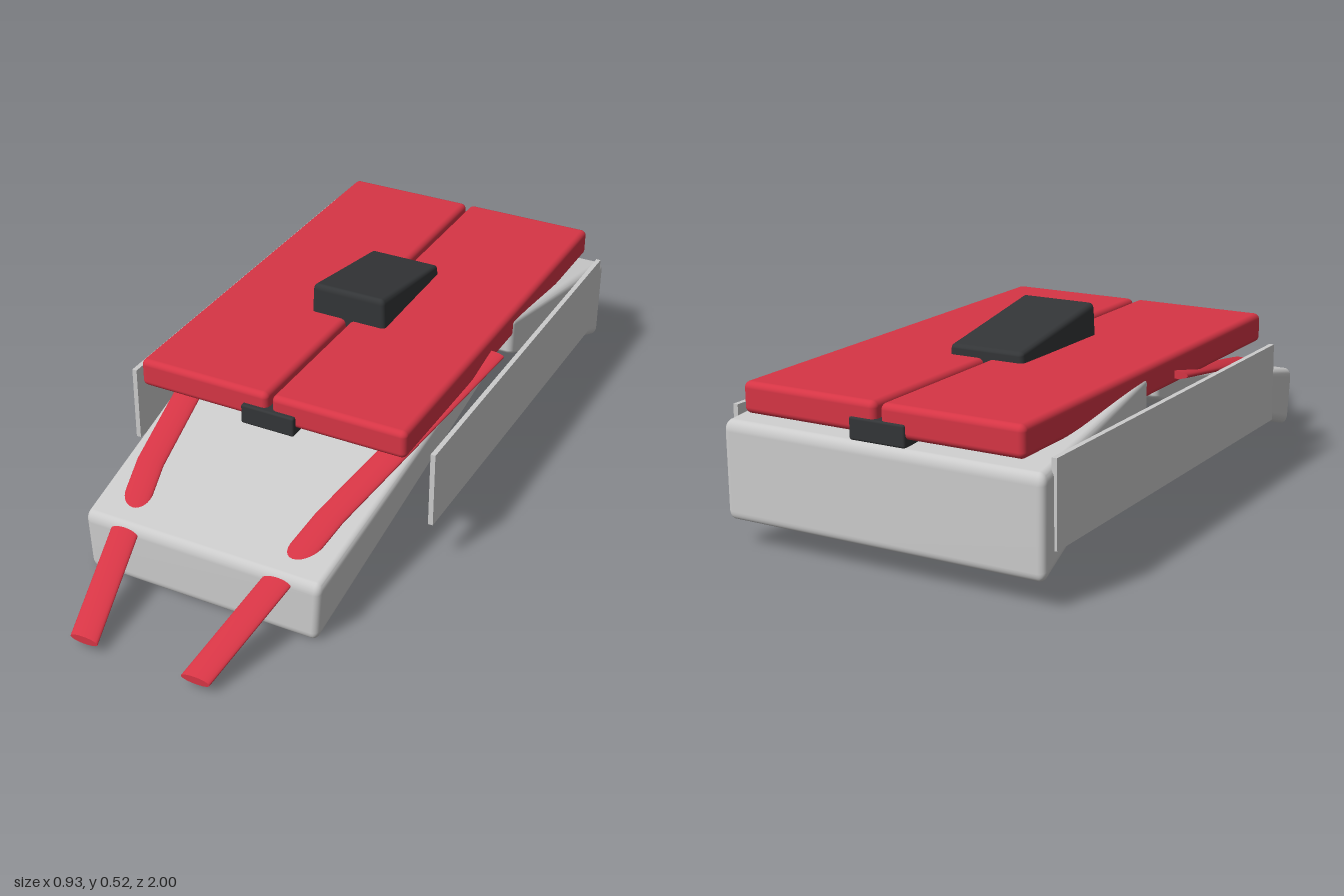
import * as THREE from 'three';
import { mergeVertices } from 'three/addons/utils/BufferGeometryUtils.js';
import { RoundedBoxGeometry } from 'three/addons/geometries/RoundedBoxGeometry.js';

const grey = new THREE.MeshStandardMaterial({ color: 0xcccccc });
const red = new THREE.MeshStandardMaterial({ color: 0xd63545 });
const black = new THREE.MeshStandardMaterial({ color: 0x333537 });
const lerp = THREE.MathUtils.lerp;

// Move every vertex by a rule, then rebuild smooth normals
function reshape(geometry, rule) {
  const p = geometry.attributes.position;
  const v = new THREE.Vector3();
  for (let i = 0; i < p.count; i++) {
    v.fromBufferAttribute(p, i);
    rule(v);
    p.setXYZ(i, v.x, v.y, v.z);
  }
  geometry.computeVertexNormals();
  return geometry;
}

// Rounded block lofted between two end sections { z, y0, y1, w0, w1 }
// (y0/y1 bottom and top, w0/w1 half widths at bottom and top)
function taperedBlock(back, front, radius) {
  const w = back.w0 + front.w0;
  const h = (back.y1 - back.y0 + front.y1 - front.y0) / 2;
  const d = front.z - back.z;
  let geo = new RoundedBoxGeometry(w, h, d, 4, radius);
  geo.deleteAttribute('normal');
  geo.deleteAttribute('uv');
  geo = mergeVertices(geo, 1e-5);
  return reshape(geo, (v) => {
    const t = v.z / d + 0.5;
    const s = v.y / h + 0.5;
    const half = lerp(lerp(back.w0, back.w1, s), lerp(front.w0, front.w1, s), t);
    v.x *= half / (w / 2);
    v.y = lerp(lerp(back.y0, front.y0, t), lerp(back.y1, front.y1, t), s);
    v.z = lerp(back.z, front.z, t);
  });
}

// Flattened bar through three stations [x, y, z], mirrored by side
function bentBar(stations, side) {
  const geo = new THREE.CylinderGeometry(1, 1, 2, 24, 2).rotateX(Math.PI / 2);
  return reshape(geo, (v) => {
    const c = stations[Math.round(v.z) + 1];
    v.set(side * c[0] + v.x * 0.041, c[1] + v.y * 0.011, c[2]);
  });
}

export function createModel() {
  const model = new THREE.Group();
  const add = (name, geometry, material, x = 0, y = 0, z = 0) => {
    const mesh = new THREE.Mesh(geometry, material);
    mesh.name = name;
    mesh.position.set(x, y, z);
    model.add(mesh);
  };

  // Nose sloping down to the front
  add('noseHull', taperedBlock(
    { z: -0.31, y0: 0.332, y1: 0.4, w0: 0.395, w1: 0.395 },
    { z: 0.705, y0: 0, y1: 0.18, w0: 0.342, w1: 0.352 }, 0.02), grey);

  // Tail sloping down to the rear
  add('tailHull', taperedBlock(
    { z: -1, y0: 0.068, y1: 0.332, w0: 0.462, w1: 0.462 },
    { z: -0.38, y0: 0.3, y1: 0.41, w0: 0.405, w1: 0.405 }, 0.02), grey);

  // Long bar in the groove between the deck halves
  add('centreBar', new RoundedBoxGeometry(0.16, 0.058, 1.334, 2, 0.006),
    black, 0, 0.364, -0.325);

  // Raised cabin, tapering down to the rear
  add('cabin', taperedBlock(
    { z: -0.51, y0: 0.4, y1: 0.462, w0: 0.115, w1: 0.108 },
    { z: -0.13, y0: 0.4, y1: 0.526, w0: 0.118, w1: 0.112 }, 0.014), black);

  for (const side of [1, -1]) {
    const label = side > 0 ? 'left' : 'right';
    add(label + 'Deck', new RoundedBoxGeometry(0.396, 0.082, 1.316, 4, 0.017),
      red, side * 0.204, 0.395, -0.329);
    add(label + 'SidePanel', new THREE.BoxGeometry(0.014, 0.222, 1.23),
      grey, side * 0.458, 0.25, -0.335);
    add(label + 'Prong', bentBar(
      [[0.4, 0.382, -0.23], [0.272, 0.241, 0.5], [0.163, 0.036, 1]], side), red);
  }
  return model;
}
